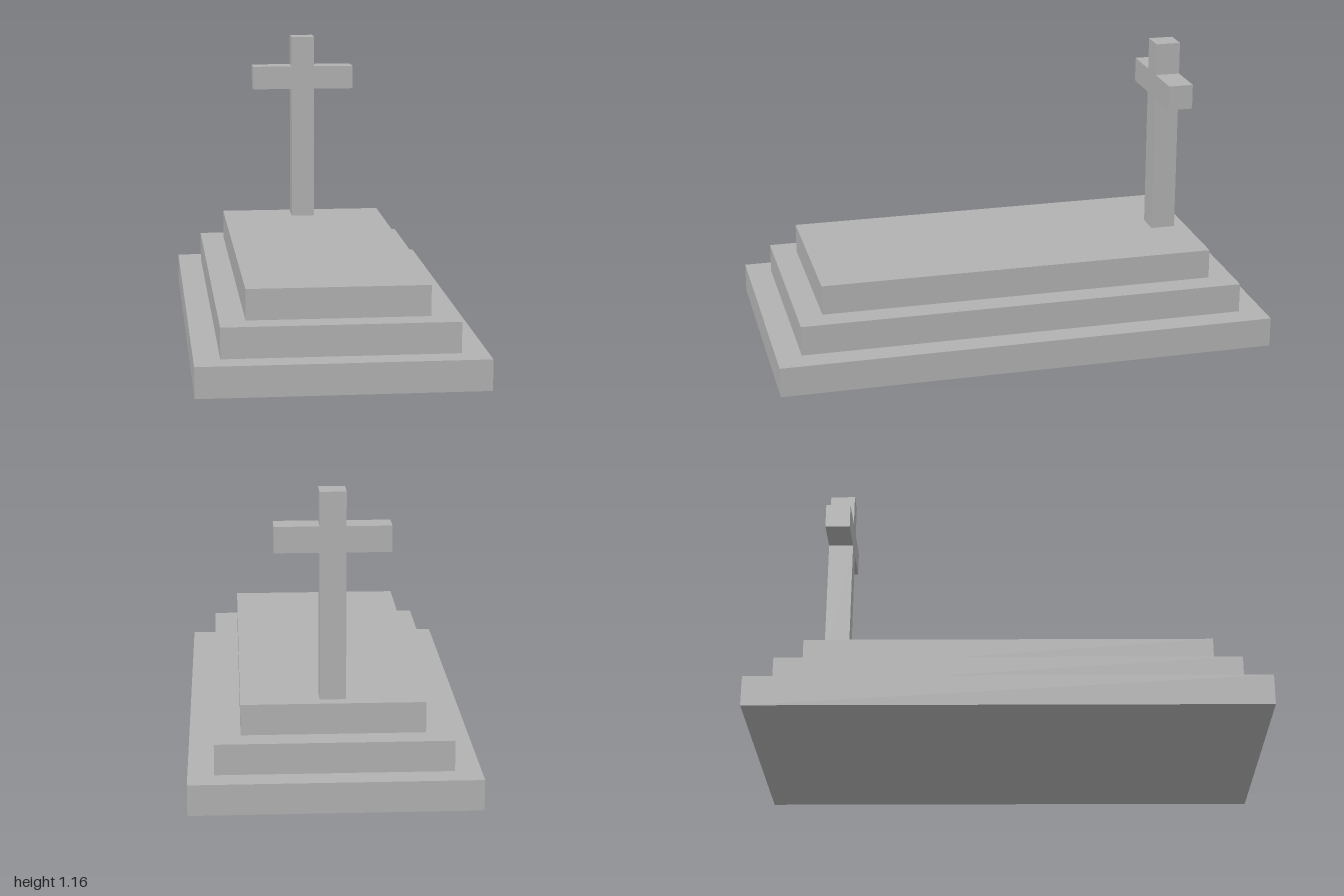
import * as THREE from 'three';

export function createModel() {
  const model = new THREE.Group();
  model.name = 'graveMonument';
  const stone = new THREE.MeshStandardMaterial({ color: 0xb2b2b2 });
  stone.name = 'grey stone';

  const add = (name, geometry, x, y, z) => {
    const mesh = new THREE.Mesh(geometry, stone);
    mesh.name = name;
    mesh.position.set(x, y, z);
    model.add(mesh);
  };

  // Three stacked slabs, each stepping in by the same ledge on all sides
  const stepHeight = 0.12, ledge = 0.1;
  ['lowerSlab', 'middleSlab', 'upperSlab'].forEach((name, i) => {
    const inset = 2 * ledge * i;
    add(name, new THREE.BoxGeometry(1.1 - inset, stepHeight, 2 - inset), 0, stepHeight * (i + 0.5), 0);
  });

  // Cross outline: right half from the foot up, then mirrored back down
  const half = [[0.05, 0], [0.05, 0.57], [0.22, 0.57], [0.22, 0.67], [0.05, 0.67], [0.05, 0.8]];
  const outline = [...half, ...half.map(([x, y]) => [-x, y]).reverse()];
  const shape = new THREE.Shape(outline.map(([x, y]) => new THREE.Vector2(x, y)));

  // Cross standing near the back edge of the upper slab
  add('cross', new THREE.ExtrudeGeometry(shape, { depth: 0.1, bevelEnabled: false }), 0, 3 * stepHeight, -0.75);

  return model;
}
